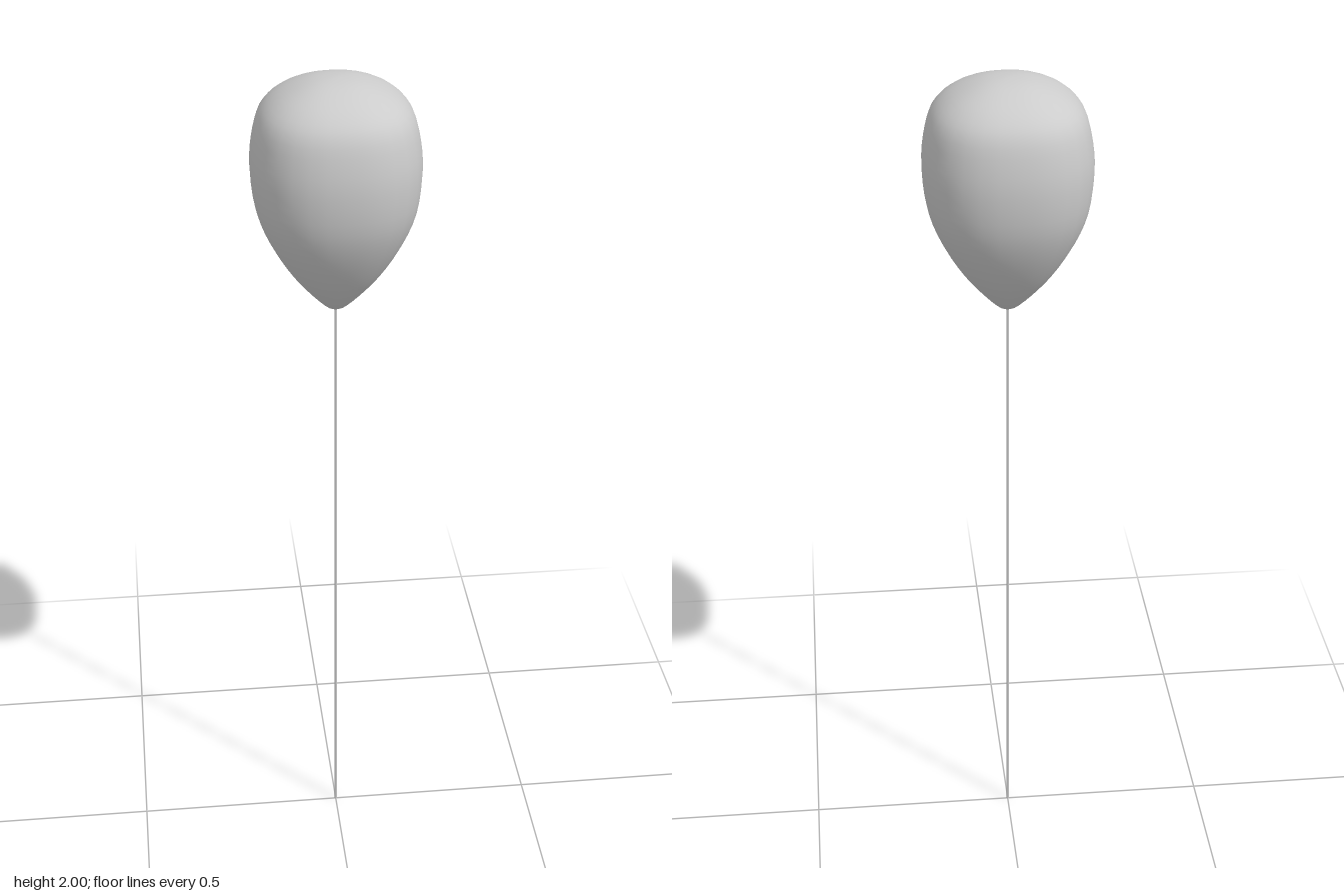
import * as THREE from 'three';
import { mergeVertices } from 'three/addons/utils/BufferGeometryUtils.js';

const TIP = 1.447;

// Teardrop lathe whose round section is pushed out to a soft square
function balloonGeometry() {
  const outline = new THREE.SplineCurve([
    [0, TIP], [0.02, 1.455], [0.056, 1.491], [0.104, 1.551], [0.15, 1.628],
    [0.179, 1.705], [0.189, 1.79], [0.184, 1.86], [0.168, 1.92],
    [0.135, 1.957], [0.09, 1.982], [0.045, 1.996], [0, 2],
  ].map(([r, y]) => new THREE.Vector2(r, y)));
  const points = outline.getPoints(36);
  points[0].x = points[points.length - 1].x = 0;

  const lathe = new THREE.LatheGeometry(points, 32);
  const pos = lathe.attributes.position;
  const n = 2.44;
  for (let i = 0; i < pos.count; i++) {
    const x = pos.getX(i), z = pos.getZ(i);
    const r = Math.hypot(x, z);
    if (r < 1e-6) continue;
    const s = (Math.abs(x / r) ** n + Math.abs(z / r) ** n) ** (-1 / n);
    pos.setX(i, x * s);
    pos.setZ(i, z * s);
  }
  // Weld the seam and poles so shading stays smooth all round
  lathe.deleteAttribute('uv');
  lathe.deleteAttribute('normal');
  const geometry = mergeVertices(lathe, 1e-5);
  geometry.computeVertexNormals();
  return geometry;
}

export function createModel() {
  const group = new THREE.Group();
  group.name = 'balloonOnString';
  const material = new THREE.MeshStandardMaterial({ color: 0xcccccc });

  const balloon = new THREE.Mesh(balloonGeometry(), material);
  balloon.name = 'balloon';
  group.add(balloon);

  // Thin straight string from the ground into the balloon's tip
  const length = TIP + 0.01;
  const string = new THREE.Mesh(new THREE.CylinderGeometry(0.003, 0.003, length, 8), material);
  string.name = 'string';
  string.position.y = length / 2;
  group.add(string);

  return group;
}
